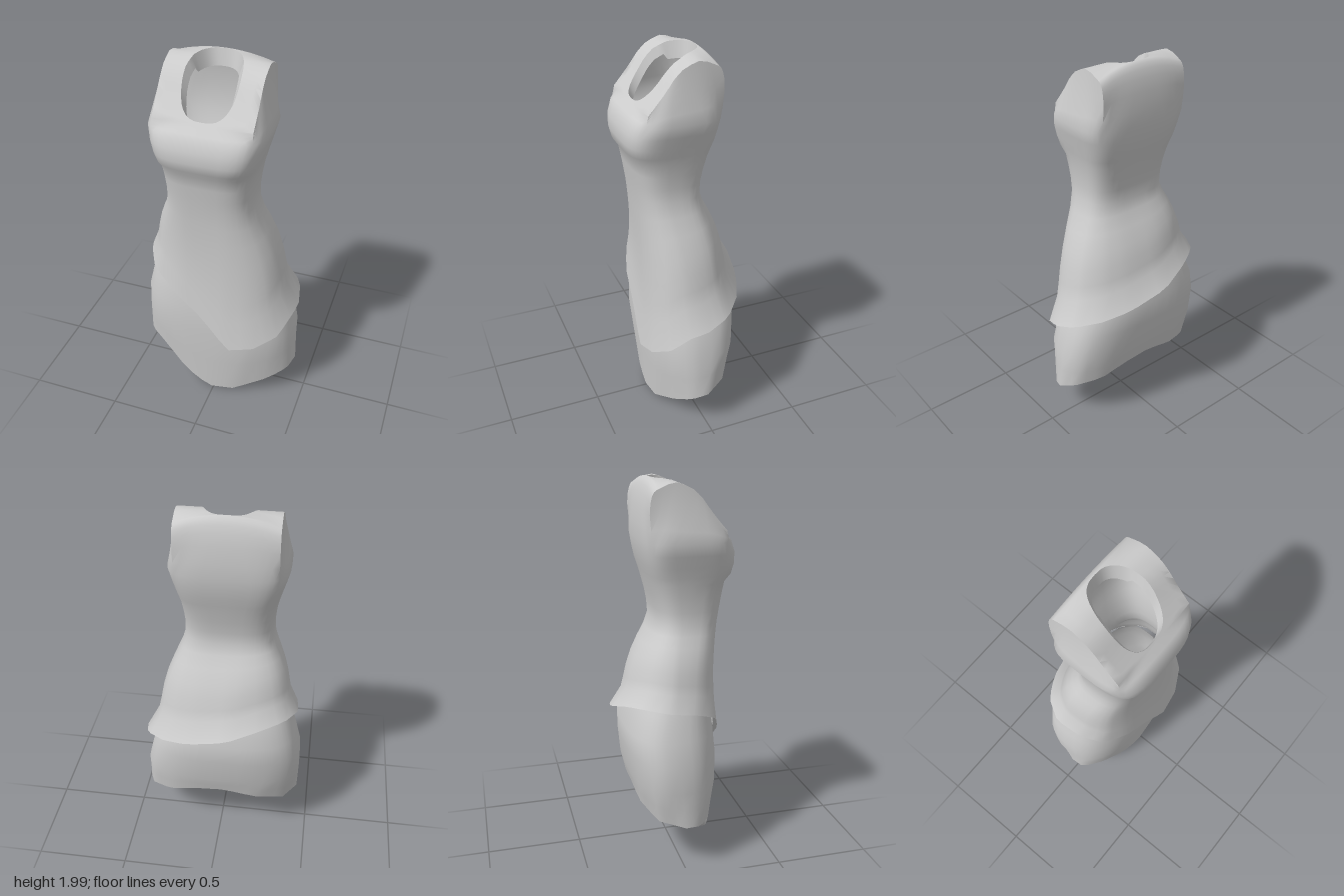
import * as THREE from 'three';
import { toCreasedNormals } from 'three/addons/utils/BufferGeometryUtils.js';

const N = 40; // columns around the body, starting at the front and turning towards +x
const CX = -0.03;
const lerp = THREE.MathUtils.lerp;
const columns = Array.from({ length: N }, (_, i) => (i / N) * Math.PI * 2);
const mix = (a, b, f, fy = f) => [lerp(a[0], b[0], f), lerp(a[1], b[1], fy), lerp(a[2], b[2], f)];

// Rounded horizontal section; p near 0.5 is boxy, 1 is an ellipse
function ring([y, left, right, front, back, p]) {
  const zc = lerp(back, front, 0.45), xc = (left + right) / 2, w = (right - left) / 2;
  return columns.map((a) => {
    const s = Math.sin(a), c = Math.cos(a);
    const x = Math.sign(s) * Math.abs(s) ** p, z = Math.sign(c) * Math.abs(c) ** p;
    return [xc + w * x, y, zc + z * (c > 0 ? front - zc : zc - back)];
  });
}

// Resample an uneven hem loop at the column angles
function hemRing(points, w, d) {
  const TAU = Math.PI * 2;
  const list = points.map((p) => ({ p, a: (Math.atan2((p[0] + 0.01) / w, p[2] / d) + TAU) % TAU }))
    .sort((m, n) => m.a - n.a);
  const first = list[0], last = list[list.length - 1];
  const all = [{ p: last.p, a: last.a - TAU }, ...list, { p: first.p, a: first.a + TAU }];
  return columns.map((a) => {
    const k = all.findIndex((e) => e.a > a);
    const m = all[k - 1], n = all[k];
    return mix(m.p, n.p, (a - m.a) / (n.a - m.a));
  });
}

// Narrow lip that turns a hem inwards
const lip = (hem, size) => hem.map(([x, y, z]) => {
  const d = Math.hypot(x, z);
  return [x * (1 - size / d), y + size * 0.3, z * (1 - size / d)];
});

// Skin a stack of rings, top to bottom
function loft(rows, crease) {
  const index = [];
  for (let r = 0; r < rows.length - 1; r++) {
    for (let i = 0; i < N; i++) {
      const a = r * N + i, b = r * N + ((i + 1) % N);
      index.push(a, a + N, b, b, a + N, b + N);
    }
  }
  const g = new THREE.BufferGeometry();
  g.setAttribute('position', new THREE.Float32BufferAttribute(rows.flat(2), 3));
  g.setIndex(index);
  return toCreasedNormals(g, crease);
}

// Shoulder profile (z, y) from the chest up to the ridge at the back
const profile = [[0.235, 1.755], [0.2, 1.795], [0.15, 1.855], [0.11, 1.91], [0.07, 1.95],
  [0, 1.985], [-0.05, 1.995], [-0.1, 1.998]];
function onProfile(t) {
  const f = THREE.MathUtils.clamp(t, 0, 1) * (profile.length - 1);
  const k = Math.min(Math.floor(f), profile.length - 2);
  return [lerp(profile[k][0], profile[k + 1][0], f - k), lerp(profile[k][1], profile[k + 1][1], f - k)];
}
function profileAt(z) {
  const k = Math.max(1, profile.findIndex((p) => p[0] <= z));
  return (k - 1 + (profile[k - 1][0] - z) / (profile[k - 1][0] - profile[k][0])) / (profile.length - 1);
}

// Yoke rings: neck opening spreading out to the shoulder edges, which drop at the back
function yokeRow(f) {
  return columns.map((a) => {
    const s = Math.sin(a), c = Math.cos(a), m = Math.max(Math.abs(s), Math.abs(c));
    const neckX = 0.138 * (1 + 0.11 * c) * Math.sign(s) * Math.abs(s) ** 0.7;
    const neckT = profileAt(0.066 + 0.163 * c);
    const [z, y] = onProfile(lerp(neckT, (1 - c / m) / 2, f));
    const x = lerp(neckX, 0.25 * s / m, f);
    const drop = Math.max(0, -z / 0.1) ** 1.5 * (x / 0.25) ** 2;
    return [CX + x, y - 0.045 * drop, z - 0.012 * drop];
  });
}

export function createModel() {
  const group = new THREE.Group();
  const cloth = new THREE.MeshStandardMaterial({ color: 0xcccccc, side: THREE.DoubleSide });
  cloth.name = 'light grey cloth';
  const add = (name, geometry) => {
    const mesh = new THREE.Mesh(geometry, cloth);
    mesh.name = name;
    group.add(mesh);
  };

  // Neck facing, turned inwards
  const neck = yokeRow(0);
  const facing = neck.map(([x, y, z]) => [
    CX + (x - CX) * 0.84, y - (z < 0 ? 0.085 : 0.05), 0.06 + (z - 0.06) * 0.9]);
  add('neckFacing', loft([neck, facing], 0.9));

  // Bodice, closed armholes and draped overskirt
  const body = [
    [1.7, -0.33, 0.268, 0.287, -0.163, 0.5],
    [1.64, -0.315, 0.254, 0.31, -0.155, 0.5],
    [1.58, -0.298, 0.238, 0.313, -0.143, 0.5],
    [1.53, -0.285, 0.226, 0.303, -0.128, 0.53],
    [1.49, -0.276, 0.216, 0.274, -0.118, 0.58],
    [1.42, -0.266, 0.206, 0.262, -0.1, 0.6],
    [1.35, -0.26, 0.2, 0.252, -0.087, 0.62],
    [1.28, -0.262, 0.203, 0.242, -0.082, 0.65],
  ].map(ring);
  // Upper back and armhole rows, bulging slightly at the back
  const shoulder = yokeRow(1);
  const upper = [[0.04, 0.013], [0.12, 0.022], [0.25, 0.027], [0.45, 0.027], [0.75, 0.015]].map(([f, bulge]) =>
    shoulder.map((p, i) => {
      const s = Math.sin(columns[i]), c = Math.cos(columns[i]);
      const q = mix(p, body[0][i], f);
      q[2] -= bulge * Math.max(0, -c / Math.max(Math.abs(s), Math.abs(c))) ** 2;
      return q;
    }));
  const overHem = hemRing([
    [0.11, 0.4, 0.27], [0.25, 0.435, 0.25], [0.37, 0.51, 0.185], [0.42, 0.6, 0.09], [0.437, 0.62, 0.01],
    [0.41, 0.67, -0.12], [0.3, 0.71, -0.22], [0.16, 0.75, -0.28], [-0.05, 0.815, -0.312], [-0.23, 0.875, -0.26],
    [-0.35, 0.895, -0.19], [-0.415, 0.885, -0.08], [-0.4, 0.86, 0.07], [-0.34, 0.81, 0.18], [-0.2, 0.7, 0.235],
    [-0.05, 0.58, 0.25],
  ], 0.42, 0.29);
  const waist = body[body.length - 1];
  const drape = [[0.12, 0.1], [0.25, 0.27], [0.4, 0.44], [0.55, 0.56], [0.68, 0.63], [0.8, 0.7], [1, 1]]
    .map(([fy, f]) => waist.map((p, i) => {
      const q = mix(p, overHem[i], f, fy);
      q[2] -= 0.024 * Math.sin(Math.PI * fy) * Math.max(0, Math.cos(columns[i]));
      return q;
    }));
  add('bodiceAndOverskirt', loft([...[0, 0.33, 0.66].map(yokeRow), shoulder, ...upper, ...body, ...drape,
    lip(overHem, 0.025)], 1.05));

  // Underskirt with a pointed front hem
  const under = [
    [1.0, -0.32, 0.255, 0.185, -0.16, 0.75],
    [0.85, -0.37, 0.31, 0.2, -0.205, 0.75],
    [0.72, -0.41, 0.345, 0.215, -0.252, 0.75],
    [0.6, -0.438, 0.385, 0.225, -0.246, 0.75],
    [0.45, -0.44, 0.422, 0.228, -0.228, 0.75],
  ].map(ring);
  const underHem = hemRing([
    [-0.03, 0.002, 0.2], [0.12, 0.02, 0.19], [0.31, 0.12, 0.14], [0.41, 0.18, 0.08], [0.437, 0.21, 0],
    [0.4, 0.26, -0.1], [0.28, 0.295, -0.175], [0.13, 0.345, -0.2], [-0.03, 0.36, -0.205], [-0.2, 0.32, -0.195],
    [-0.36, 0.27, -0.13], [-0.435, 0.25, 0], [-0.43, 0.25, 0.08], [-0.33, 0.24, 0.15], [-0.17, 0.09, 0.19],
  ], 0.43, 0.21);
  const middle = under[under.length - 1].map((p, i) => mix(p, underHem[i], 0.5));
  add('underskirt', loft([...under, middle, underHem, lip(underHem, 0.015)], 0.95));

  return group;
}
